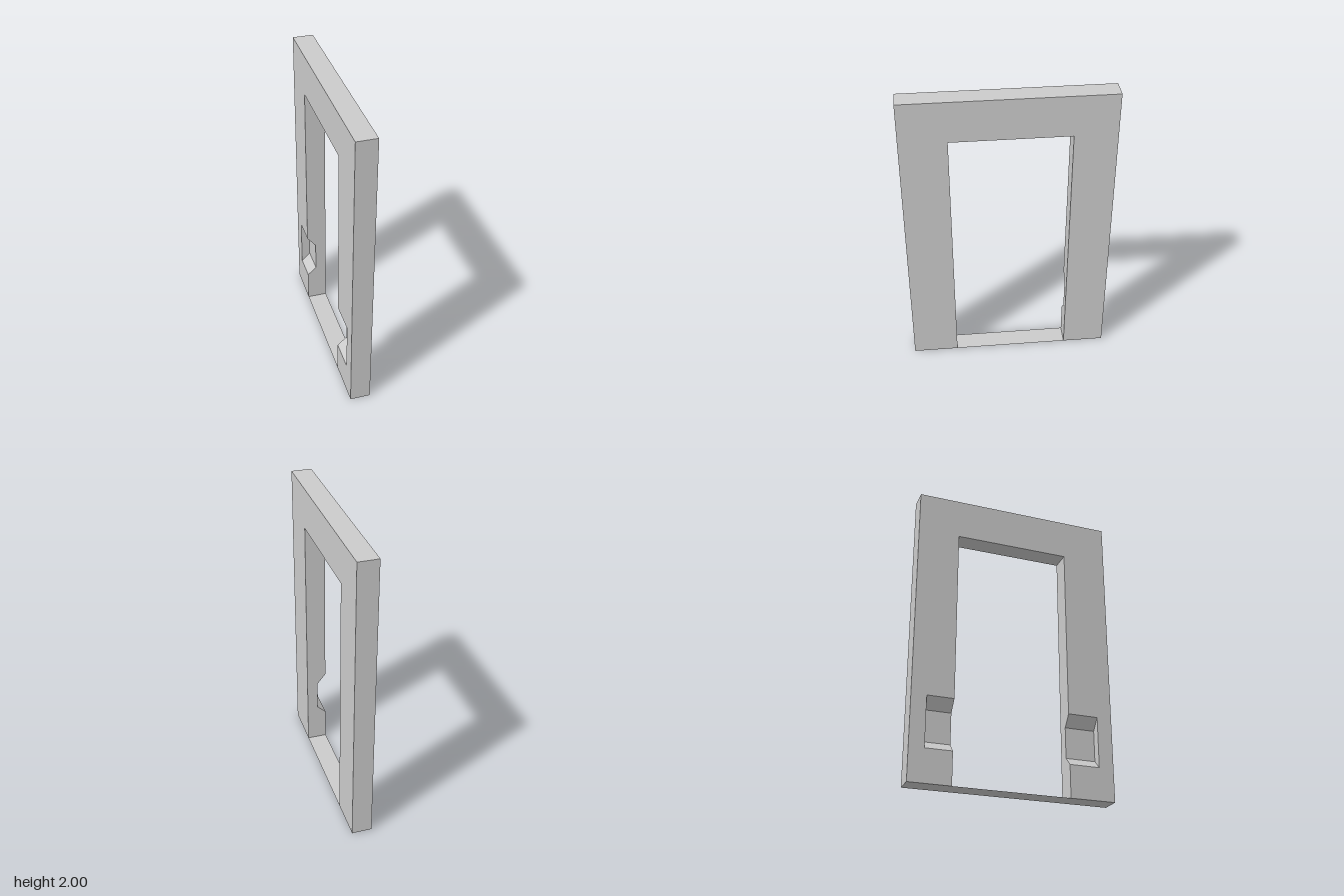
import * as THREE from 'three';

const X = 0.067, Z = 0.672, H = 2;        // half thickness, half width, height
const TOP = 1.726, ZF = 0.37, ZB = -0.396; // door opening
const POCKET_Z = 0.572, DEEP = -0.007;    // pocket end wall and back wall
// pocket section (x, y): sloped sill, back wall, sloped head
const POCKET = [[-X, 0.217], [DEEP, 0.274], [DEEP, 0.48], [-X, 0.555]];

// Flat polygon facing along the given direction; returns triangle coordinates
function polygon(points, facing) {
  const drop = facing.map(Math.abs).indexOf(Math.max(...facing.map(Math.abs)));
  const flat = points.map(p => new THREE.Vector2(...p.filter((_, i) => i !== drop)));
  const v = points.map(p => new THREE.Vector3(...p));
  const dir = new THREE.Vector3(...facing);
  const out = [];
  for (const [a, b, c] of THREE.ShapeUtils.triangulateShape(flat, [])) {
    const n = v[b].clone().sub(v[a]).cross(v[c].clone().sub(v[a]));
    const order = n.dot(dir) < 0 ? [a, c, b] : [a, b, c];
    for (const i of order) out.push(...points[i]);
  }
  return out;
}

function part(name, faces, side = THREE.FrontSide) {
  const geometry = new THREE.BufferGeometry();
  const coords = faces.flatMap(([points, facing]) => polygon(points, facing));
  geometry.setAttribute('position', new THREE.Float32BufferAttribute(coords, 3));
  geometry.computeVertexNormals();
  const mesh = new THREE.Mesh(geometry, new THREE.MeshStandardMaterial({ color: 0xcccccc, flatShading: true, side }));
  mesh.name = name;
  return mesh;
}

const atX = (x, zy) => zy.map(([z, y]) => [x, y, z]);
const atY = (y, z0, z1) => [[-X, y, z0], [X, y, z0], [X, y, z1], [-X, y, z1]];
const atZ = (z, xy) => xy.map(([x, y]) => [x, y, z]);

export function createModel() {
  const group = new THREE.Group();
  group.name = 'doorFrame';

  // Frame: plain arch on one side, arch with pocket cut-outs on the other
  const y0 = POCKET[0][1], y1 = POCKET[3][1];
  const plain = [[-Z, 0], [ZB, 0], [ZB, TOP], [ZF, TOP], [ZF, 0], [Z, 0], [Z, H], [-Z, H]];
  const cut = [
    [-Z, 0], [ZB, 0], [ZB, y0], [-POCKET_Z, y0], [-POCKET_Z, y1], [ZB, y1], [ZB, TOP],
    [ZF, TOP], [ZF, y1], [POCKET_Z, y1], [POCKET_Z, y0], [ZF, y0], [ZF, 0], [Z, 0], [Z, H], [-Z, H],
  ];
  const end = [[-X, 0], [X, 0], [X, H], [-X, H]];
  group.add(part('frame', [
    [atX(X, plain), [1, 0, 0]],
    [atX(-X, cut), [-1, 0, 0]],
    [atY(H, -Z, Z), [0, 1, 0]],
    [atZ(Z, end), [0, 0, 1]],
    [atZ(-Z, end), [0, 0, -1]],
    [atY(TOP, ZB, ZF), [0, -1, 0]],
  ]));

  // Paper-thin threshold closing the underside
  group.add(part('threshold', [[atY(0, -Z, Z), [0, -1, 0]]], THREE.DoubleSide));

  // Jambs and the recessed pockets behind them
  for (const [name, s, z] of [['front', 1, ZF], ['back', -1, ZB]]) {
    const inward = [0, 0, -s];
    const jamb = [[-X, 0], ...POCKET, [-X, TOP], [X, TOP], [X, 0]];
    group.add(part(name + 'Jamb', [[atZ(z, jamb), inward]]));

    const walls = [[-1, 1, 0], [-1, 0, 0], [-1, -1, 0]].map((facing, i) => {
      const [a, b] = [POCKET[i], POCKET[i + 1]];
      return [[[...a, z], [...b, z], [...b, s * POCKET_Z], [...a, s * POCKET_Z]], facing];
    });
    // sloped walls are flattened along y, where they have full area
    walls[0][1] = [-0.9, 1, 0];
    walls[2][1] = [-0.9, -1, 0];
    group.add(part(name + 'Pocket', [...walls, [atZ(s * POCKET_Z, POCKET), inward]]));
  }
  return group;
}
